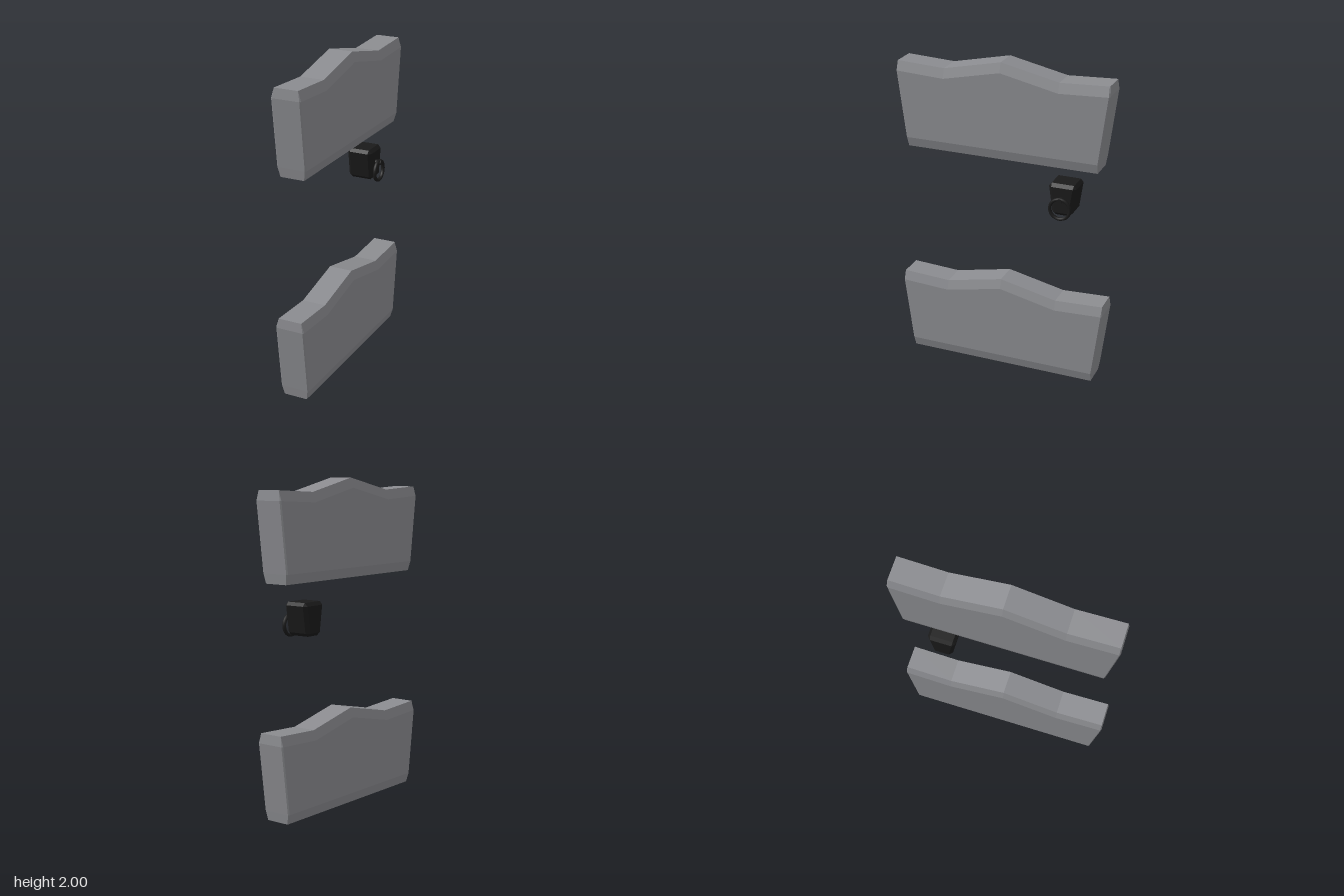
import * as THREE from 'three';
import { ConvexGeometry } from 'three/addons/geometries/ConvexGeometry.js';

const grey = new THREE.MeshStandardMaterial({ color: 0x8b8c90 });
grey.name = 'slab grey';
const black = new THREE.MeshStandardMaterial({ color: 0x1a1a1a });
black.name = 'matt black';

// Slab lofted along z from eight-point cross-sections; ends lean outwards.
function slabGeometry() {
  const endZ = [0.605, 0.614, 0.667, 0.661]; // end position at each height row
  const section = (sign, z, top, inset, isEnd) => {
    const rows = [[0.075, 0], [0.093 - inset, 0.06], [0.093 - inset, top - 0.06], [0.075, top]];
    const point = (i, side) => {
      const [x, y] = rows[i];
      const pull = i === 0 || i === 3 ? 0.002 : 0.007;
      return [side * x, y, isEnd ? sign * (endZ[i] - (inset ? 0 : pull)) : z];
    };
    return [0, 1, 2, 3].map(i => point(i, 1)).concat([3, 2, 1, 0].map(i => point(i, -1)));
  };
  const loops = [
    section(-1, 0, 0.535, 0.008, true),
    section(-1, 0, 0.535, 0, true),
    section(1, -0.36, 0.52, 0, false),
    section(1, 0, 0.598, 0, false),
    section(1, 0.36, 0.52, 0, false),
    section(1, 0, 0.535, 0, true),
    section(1, 0, 0.535, 0.008, true),
  ];
  const pos = [];
  const quad = (a, b, c, d) => pos.push(...a, ...b, ...c, ...a, ...c, ...d);
  for (let s = 0; s < loops.length - 1; s++) {
    for (let i = 0; i < 8; i++) {
      const j = (i + 1) % 8;
      quad(loops[s][i], loops[s][j], loops[s + 1][j], loops[s + 1][i]);
    }
  }
  const first = loops[0], last = loops[loops.length - 1];
  for (let i = 0; i < 3; i++) {
    quad(last[7 - i], last[i], last[i + 1], last[6 - i]);
    quad(first[i], first[7 - i], first[6 - i], first[i + 1]);
  }
  const geo = new THREE.BufferGeometry();
  geo.setAttribute('position', new THREE.Float32BufferAttribute(pos, 3));
  geo.computeVertexNormals();
  return geo;
}

// Box with chamfered edges, narrower in z at the bottom.
function chamferedBlock(w, h, topDepth, bottomDepth, c) {
  const pts = [];
  for (const sx of [-1, 1]) for (const sy of [-1, 1]) for (const sz of [-1, 1]) {
    for (const [cx, cy, cz] of [[0, c, c], [c, 0, c], [c, c, 0]]) {
      const y = sy * (h / 2 - cy);
      const depth = THREE.MathUtils.lerp(bottomDepth, topDepth, y / h + 0.5);
      pts.push(new THREE.Vector3(sx * (w / 2 - cx), y, sz * (depth / 2 - cz)));
    }
  }
  return new ConvexGeometry(pts);
}

export function createModel() {
  const model = new THREE.Group();
  const add = (parent, name, geo, mat, x, y, z) => {
    const mesh = new THREE.Mesh(geo, mat);
    mesh.name = name;
    mesh.position.set(x, y, z);
    parent.add(mesh);
    return mesh;
  };

  // Two identical slabs, one above the other
  const slab = slabGeometry();
  add(model, 'lowerSlab', slab, grey, 0, 0, 0);
  add(model, 'upperSlab', slab, grey, 0, 1.402, 0);

  // Small block with a hanging ring
  const latch = new THREE.Group();
  latch.name = 'latch';
  model.add(latch);
  add(latch, 'latchBlock', chamferedBlock(0.163, 0.2, 0.18, 0.122, 0.02), black, -0.023, 1.187, -0.382);
  const ring = add(latch, 'pullRing', new THREE.TorusGeometry(0.063, 0.01, 8, 28), black, 0.08, 1.141, -0.379);
  ring.rotation.y = Math.PI / 2;
  ring.scale.z = 1.25;
  const pin = add(latch, 'ringPin', new THREE.CylinderGeometry(0.016, 0.016, 0.041, 12), black, 0.0765, 1.195, -0.379);
  pin.rotation.z = Math.PI / 2;

  return model;
}
